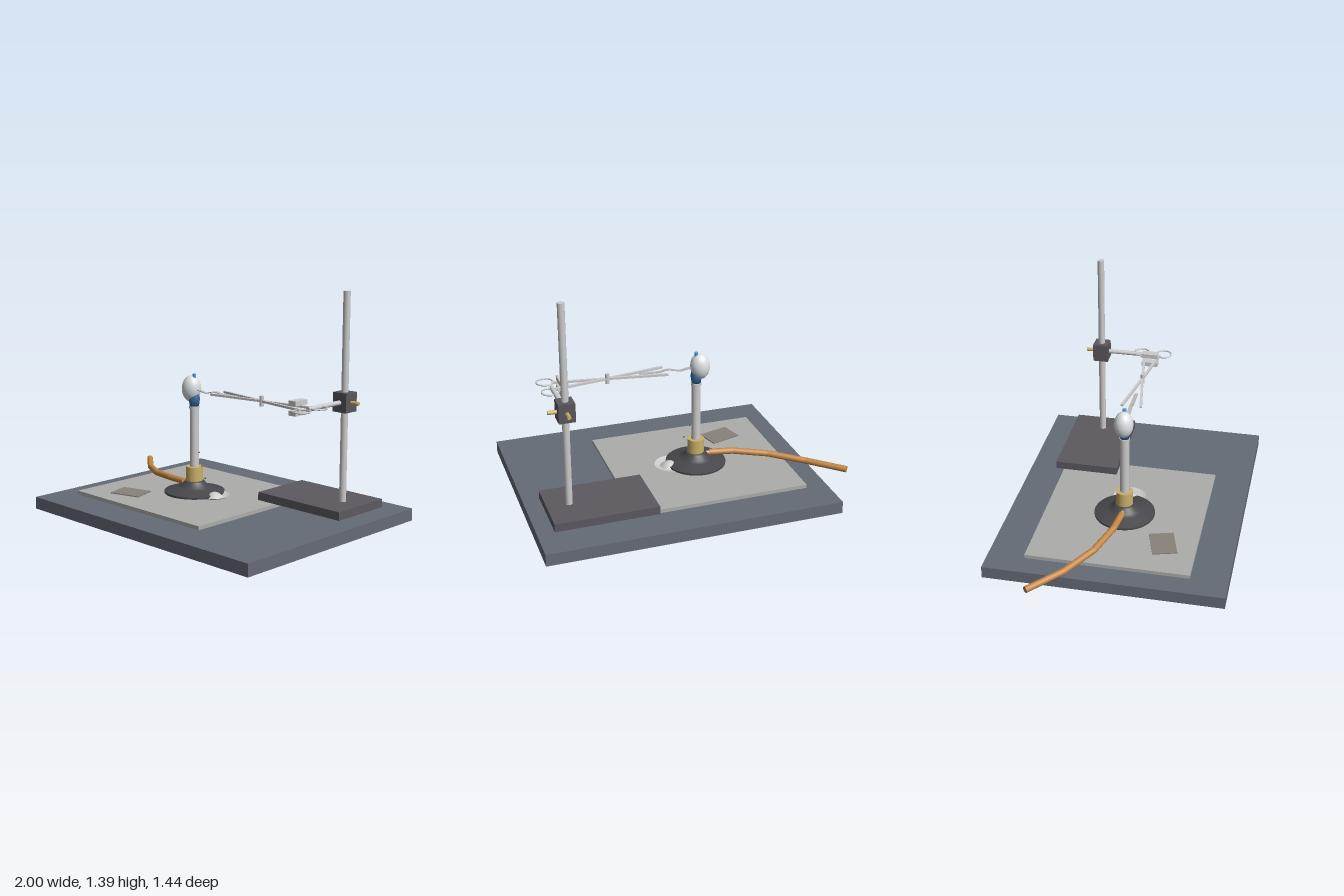
import * as THREE from 'three';

const mats = {};
const mat = (color, double = false) => mats[color + '_' + double] ??= new THREE.MeshStandardMaterial({
  color, side: double ? THREE.DoubleSide : THREE.FrontSide });
const METAL = 0xcccccc, BRASS = 0xcbb068, DARK = 0x48474b, FLAME_BLUE = 0x3a6ea5;
const v = (x, y, z) => new THREE.Vector3(x, y, z);

export function createModel() {
  const model = new THREE.Group();
  model.name = 'burnerExperiment';

  const add = (name, geometry, color, x = 0, y = 0, z = 0, double = false) => {
    const mesh = new THREE.Mesh(geometry, mat(color, double));
    mesh.name = name;
    mesh.position.set(x, y, z);
    model.add(mesh);
    return mesh;
  };
  // Box given by its lower and upper corners
  const box = (name, color, a, b) => add(name,
    new THREE.BoxGeometry(b[0] - a[0], b[1] - a[1], b[2] - a[2]), color,
    (a[0] + b[0]) / 2, (a[1] + b[1]) / 2, (a[2] + b[2]) / 2);
  // Aligns a mesh built along y with the line from a to b
  const span = (mesh, a, b) => {
    mesh.position.copy(a).lerp(b, 0.5);
    mesh.quaternion.setFromUnitVectors(v(0, 1, 0), b.clone().sub(a).normalize());
    return mesh;
  };
  const rod = (name, color, a, b, r, sides = 20) =>
    span(add(name, new THREE.CylinderGeometry(r, r, a.distanceTo(b), sides), color), a, b);
  const lathe = (name, color, points, x, z, double) => add(name,
    new THREE.LatheGeometry(points.map(p => new THREE.Vector2(...p)), 40), color, x, 0, z, double);

  // Bench and heat-proof mat
  box('bench', 0x656b76, [-0.805, 0, -0.72], [1, 0.075, 0.72]);
  box('heatMat', 0xadadab, [-0.67, 0.075, -0.495], [0.41, 0.098, 0.495]);
  const paper = add('abrasivePaper', new THREE.BoxGeometry(0.2, 0.006, 0.15), 0x88827a, -0.4, 0.101, 0.29);
  paper.rotation.y = 0.28;

  // Burner: base, collar, chimney and gas inlet
  const bx = -0.13;
  lathe('burnerBase', DARK, [[0, 0.1], [0.188, 0.1], [0.188, 0.1], [0.188, 0.112], [0.188, 0.112],
    [0.11, 0.134], [0.085, 0.142], [0.063, 0.17], [0.058, 0.176], [0, 0.176]], bx, 0);
  rod('airCollar', BRASS, v(bx, 0.174, 0), v(bx, 0.265, 0), 0.052, 32);
  rod('chimney', METAL, v(bx, 0.265, 0), v(bx, 0.645, 0), 0.028, 28);
  rod('chimneyRim', METAL, v(bx, 0.63, 0), v(bx, 0.646, 0), 0.032, 28);
  rod('gasInlet', BRASS, v(-0.28, 0.15, 0), v(-0.15, 0.15, 0), 0.012);

  // Flame: blue inner cone inside a bright glow
  lathe('innerFlame', FLAME_BLUE, [[0, 0.645], [0.028, 0.645], [0.035, 0.69], [0.03, 0.72], [0.018, 0.78], [0.012, 0.82]], bx, 0);
  rod('flameTip', 0x5b9bd8, v(bx, 0.81, 0), v(bx, 0.845, 0), 0.011);
  const glow = add('brightGlow', new THREE.SphereGeometry(1, 32, 24), 0xdde1e4, -0.155, 0.752, 0);
  glow.scale.set(0.061, 0.083, 0.058);
  glow.rotation.z = -0.06;

  // Rubber hose in straight lengths, with closed ends
  const hosePoints = [v(-0.22, 0.151, 0), v(-0.37, 0.146, -0.02), v(-0.58, 0.127, -0.093),
    v(-0.785, 0.107, -0.225), v(-0.985, 0.1, -0.4)];
  hosePoints.forEach((p, i) => {
    if (i) rod('hoseLength', 0xc48745, hosePoints[i - 1], p, 0.02);
    if (i && i < hosePoints.length - 1) add('hoseJoint', new THREE.SphereGeometry(0.02, 20, 12), 0xc48745, p.x, p.y, p.z);
  });

  // Dish with a small heap of powder
  lathe('dish', 0xe0e0de, [[0, 0.1], [0.065, 0.1], [0.09, 0.104], [0.107, 0.113]], 0.03, 0, true);
  lathe('powderHeap', 0xd8d8d6, [[0.058, 0.1], [0.045, 0.11], [0.028, 0.124], [0.01, 0.131], [0, 0.132]], 0.045, 0, true);

  // Falling ash flecks
  [[-0.09, 0.36, 0], [-0.055, 0.28, 0.01], [-0.046, 0.2, -0.01]].forEach(([x, y, z]) =>
    add('ashFleck', new THREE.SphereGeometry(0.005, 8, 6), 0x555555, x, y, z));

  // Retort stand with boss head, screws and arm
  const sx = 0.77, sz = -0.34, cy = 0.747;
  box('standBase', 0x5c5960, [0.28, 0.1, -0.545], [0.905, 0.15, -0.14]);
  rod('standRod', METAL, v(sx, 0.15, sz), v(sx, 1.39, sz), 0.021, 24);
  box('bossHead', 0x5a575c, [sx - 0.049, 0.69, sz - 0.049], [sx + 0.049, 0.805, sz + 0.049]);
  rod('sideScrew', BRASS, v(sx, cy, sz), v(0.872, cy, sz), 0.012);
  rod('backScrew', BRASS, v(sx, cy, sz), v(sx, cy, -0.44), 0.012);
  rod('clampArm', METAL, v(sx, cy, sz), v(sx, cy, -0.01), 0.014);
  for (const y of [0.722, 0.78])
    box('clampJaw', METAL, [0.68, y - 0.014, -0.055], [0.73, y + 0.014, 0.05]);

  // Crossed tongs with a pivot pin and finger rings
  for (const s of [-1, 1]) {
    const tip = v(0.075, cy + 0.004, s * 0.058), pivot = v(0.43, cy + 0.004, 0), handle = v(0.755, cy + 0.002, -s * 0.048);
    for (const [name, a, b] of [['tongJaw', tip, pivot], ['tongHandle', pivot, handle]]) {
      const bar = add(name, new THREE.BoxGeometry(a.distanceTo(b) + 0.01, 0.013, 0.016), METAL);
      bar.position.copy(a).lerp(b, 0.5);
      bar.rotation.y = -Math.atan2(b.z - a.z, b.x - a.x);
    }
    const ring = add('fingerRing', new THREE.TorusGeometry(0.05, 0.005, 10, 36), METAL, 0.793, cy + 0.002, s * 0.073);
    ring.rotation.x = Math.PI / 2;
  }
  rod('pivotPin', METAL, v(0.43, 0.72, 0), v(0.43, 0.782, 0), 0.013);

  // Wavy metal ribbon: an upright profile of the wave, extruded across its width
  const wave = new THREE.CatmullRomCurve3([[-0.1, 0.75], [-0.06, 0.744], [-0.02, 0.739], [0.02, 0.75],
    [0.06, 0.756], [0.1, 0.749], [0.16, 0.75], [0.23, 0.75]].map(([x, y]) => v(x, y, 0))).getPoints(48);
  const shape = new THREE.Shape([...wave.map(p => new THREE.Vector2(p.x, p.y - 0.002)),
    ...wave.reverse().map(p => new THREE.Vector2(p.x, p.y + 0.002))]);
  add('metalRibbon', new THREE.ExtrudeGeometry(shape, { depth: 0.024, bevelEnabled: false }), 0xb8b8b8, 0, 0, -0.012);

  return model;
}
